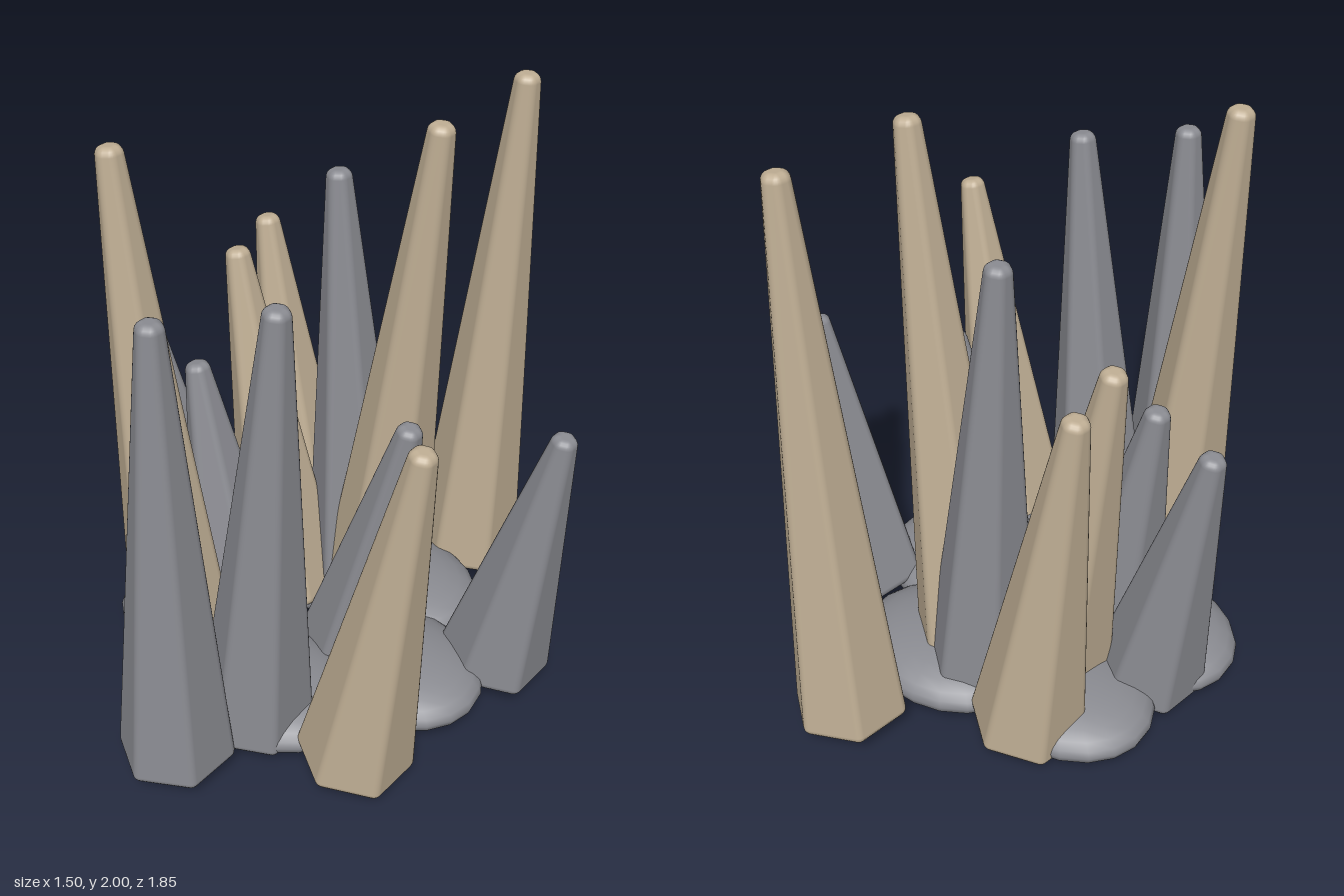
import * as THREE from 'three';

const stoneGrey = new THREE.MeshStandardMaterial({ color: 0x8a8b91 });
const sandTan = new THREE.MeshStandardMaterial({ color: 0xbead93 });
stoneGrey.name = 'stoneGrey';
sandTan.name = 'sandTan';

// Tapered hexagonal spike with softly rounded edges, standing on y = 0
function spikeGeometry(length) {
  const base = 0.163, top = 0.015, round = 0.028, arc = 4;
  const taper = Math.atan((base - top) / length);
  const half = Math.PI / 2;
  // rows: corner radius, height of rounding centre, elevation of the normal
  const rows = [[0, round, -half]];
  for (let i = 0; i <= 4; i++) rows.push([base, round, -half + (half + taper) * i / 4]);
  for (let i = 0; i <= 5; i++) rows.push([top, length - round, taper + (half - taper) * i / 5]);
  rows.push([0, length - round, half]);

  const position = [], normal = [], index = [];
  const n = 6 * (arc + 1);
  for (const [r, y, el] of rows) {
    for (let k = 0; k < 6; k++) {
      const corner = k * Math.PI / 3;
      for (let j = 0; j <= arc; j++) {
        const a = corner + (j / arc - 0.5) * Math.PI / 3;
        const nx = Math.sin(a) * Math.cos(el), ny = Math.sin(el), nz = Math.cos(a) * Math.cos(el);
        position.push(r * Math.sin(corner) + round * nx, y + round * ny, r * Math.cos(corner) + round * nz);
        normal.push(nx, ny, nz);
      }
    }
  }
  for (let i = 0; i < rows.length - 1; i++) {
    for (let j = 0; j < n; j++) {
      const a = i * n + j, b = i * n + (j + 1) % n;
      index.push(a, b, b + n, a, b + n, a + n);
    }
  }
  const g = new THREE.BufferGeometry();
  g.setAttribute('position', new THREE.Float32BufferAttribute(position, 3));
  g.setAttribute('normal', new THREE.Float32BufferAttribute(normal, 3));
  g.setIndex(index);
  return g;
}

// Each spike: base x, tip x, z, tip height
const tanSpikes = [
  [0.07, 0.19, -0.74, 2.0],
  [-0.01, 0.21, -0.265, 2.0],
  [-0.25, -0.425, 0.45, 2.0],
  [0.43, 0.655, 0.385, 1.405],
  [-0.39, -0.58, -0.375, 1.405],
  [-0.28, -0.5, -0.135, 1.405],
];
const greySpikes = [
  [-0.04, -0.015, 0.725, 1.71],
  [0.065, 0.2, 0.455, 1.71],
  [-0.11, -0.215, -0.315, 1.71],
  [0.515, 0.71, -0.28, 1.11],
  [0.1, 0.315, -0.02, 1.11],
  [-0.52, -0.72, 0.07, 1.11],
  [-0.27, -0.45, 0.13, 1.11],
];

export function createModel() {
  const model = new THREE.Group();
  model.name = 'spikeCluster';

  // Leaning spikes
  const addSpikes = (list, material, name) => {
    list.forEach(([x0, x1, z, height], i) => {
      const lean = Math.abs(x1 - x0) / height;
      const y0 = 0.063 + lean * 0.12;
      const length = Math.hypot(x1 - x0, height - y0);
      const spike = new THREE.Mesh(spikeGeometry(length), material);
      spike.name = name + (i + 1);
      spike.position.set(x0, y0, z);
      spike.rotation.z = -Math.atan2(x1 - x0, height - y0);
      model.add(spike);
    });
  };
  addSpikes(tanSpikes, sandTan, 'tanSpike');
  addSpikes(greySpikes, stoneGrey, 'greySpike');

  // Ring of five flattened base stones
  const stoneGeometry = new THREE.SphereGeometry(1, 20, 14);
  for (let i = 0; i < 5; i++) {
    const a = i * Math.PI * 2 / 5;
    const stone = new THREE.Mesh(stoneGeometry, stoneGrey);
    stone.name = 'baseStone' + (i + 1);
    stone.position.set(-0.09 + 0.379 * Math.cos(a), 0.103, 0.36 * Math.sin(a));
    stone.scale.set(0.33, 0.102, 0.268);
    model.add(stone);
  }
  return model;
}
